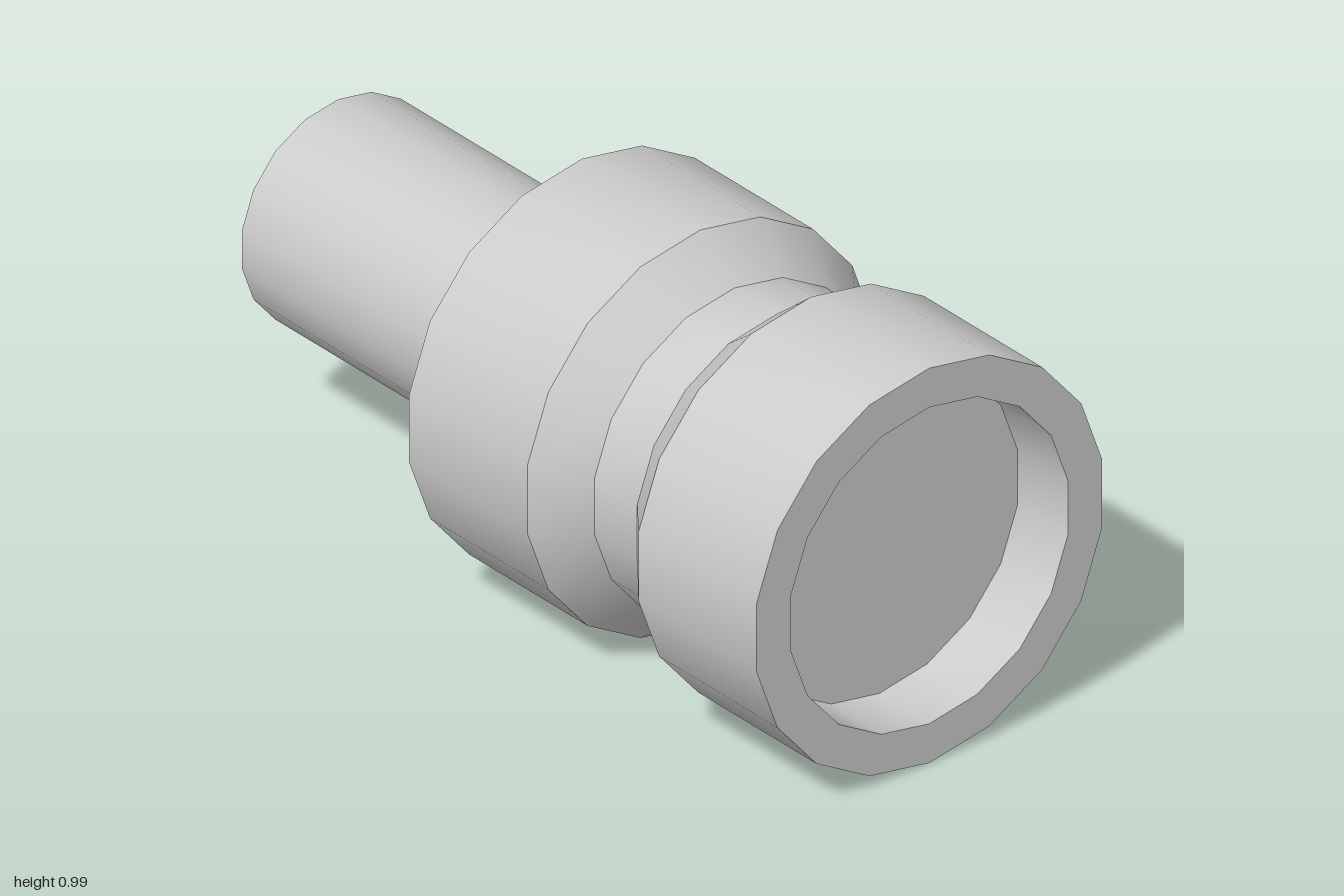
import * as THREE from 'three';
import { toCreasedNormals } from 'three/addons/utils/BufferGeometryUtils.js';

const SIDES = 18;
const AXIS_Y = 0.495;
const OUTER = 0.494;   // collar radius
const INNER = 0.396;   // recess radius
const NECK = 0.4;
const SHAFT = 0.275;

const material = new THREE.MeshStandardMaterial({ color: 0xcccccc });

// Revolves [radius, z] points around the z axis, with sharp profile edges
function turned(name, profile) {
  const points = profile.map(([r, z]) => new THREE.Vector2(r, z));
  const geometry = new THREE.LatheGeometry(points, SIDES);
  geometry.rotateX(Math.PI / 2);
  const mesh = new THREE.Mesh(toCreasedNormals(geometry, 0.5), material);
  mesh.name = name;
  mesh.position.y = AXIS_Y;
  return mesh;
}

export function createModel() {
  const group = new THREE.Group();
  group.name = 'groovedCoupling';

  // Two collars joined by a chamfered groove, recessed at both ends
  group.add(turned('collarBody', [
    [0, -0.005], [INNER, -0.005], [INNER, -0.175], [OUTER, -0.175],
    [OUTER, 0.225], [NECK, 0.34], [NECK, 0.485], [OUTER, 0.6],
    [OUTER, 1], [INNER, 1], [INNER, 0.83], [0, 0.83],
  ]));

  // Solid shaft rising from the floor of the rear recess
  group.add(turned('shaft', [
    [0, -1], [SHAFT, -1], [SHAFT, 0],
  ]));

  return group;
}
